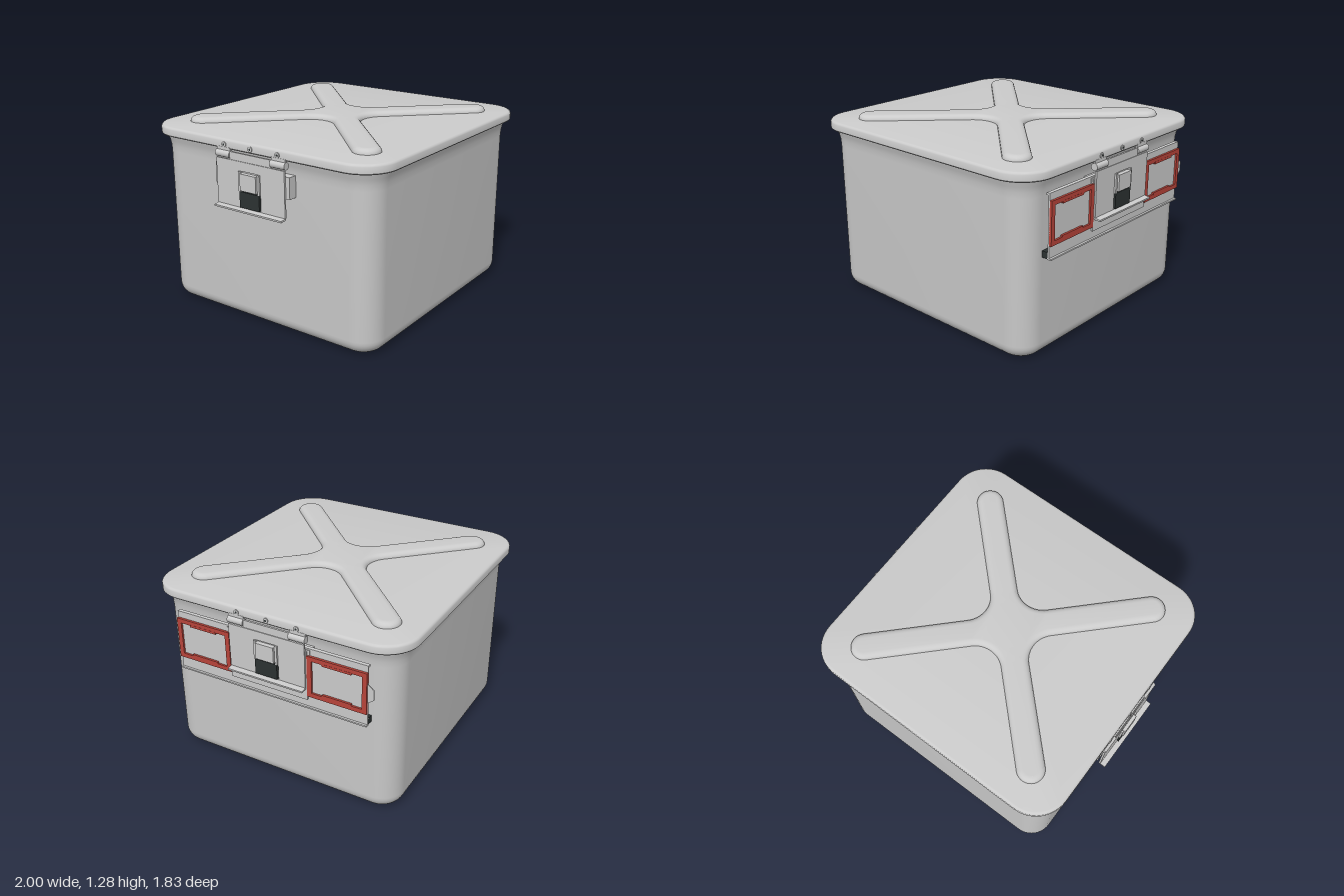
import * as THREE from 'three';
import { toCreasedNormals } from 'three/addons/utils/BufferGeometryUtils.js';

const grey = new THREE.MeshStandardMaterial({ color: 0xcccccc, side: THREE.DoubleSide });
const red = new THREE.MeshStandardMaterial({ color: 0xb8443a });
const dark = new THREE.MeshStandardMaterial({ color: 0x2c3232 });

function add(parent, name, geometry, material = grey) {
  const mesh = new THREE.Mesh(geometry, material);
  mesh.name = name;
  parent.add(mesh);
  return mesh;
}

// Box given by its limits on each axis
function box(parent, name, [x0, x1], [y0, y1], [z0, z1], material) {
  const mesh = add(parent, name, new THREE.BoxGeometry(x1 - x0, y1 - y0, z1 - z0), material);
  mesh.position.set((x0 + x1) / 2, (y0 + y1) / 2, (z0 + z1) / 2);
  return mesh;
}

// Loft through rounded rectangles, rows of [halfX, halfZ, radius, y]
function loft(rows, steps = 12) {
  const pos = [], idx = [], n = 4 * (steps + 1);
  for (const [hx, hz, r, y] of rows)
    for (let q = 0; q < 4; q++)
      for (let k = 0; k <= steps; k++) {
        const a = (q + k / steps) * Math.PI / 2;
        const sx = q === 0 || q === 3 ? 1 : -1, sz = q < 2 ? 1 : -1;
        pos.push(sx * (hx - r) + r * Math.cos(a), y, sz * (hz - r) + r * Math.sin(a));
      }
  for (let j = 0; j < rows.length - 1; j++)
    for (let i = 0; i < n; i++) {
      const a = j * n + i, c = j * n + (i + 1) % n;
      idx.push(a, a + n, c, a + n, c + n, c);
    }
  const g = new THREE.BufferGeometry();
  g.setAttribute('position', new THREE.Float32BufferAttribute(pos, 3));
  g.setIndex(idx);
  return toCreasedNormals(g, 0.6);
}

function rect(ShapeType, [u0, u1], [y0, y1]) {
  return new ShapeType([[u0, y0], [u1, y0], [u1, y1], [u0, y1]].map(p => new THREE.Vector2(...p)));
}

// Plate facing +x with a rectangular opening
function framePlate(outer, hole, x, depth) {
  const shape = rect(THREE.Shape, ...outer);
  shape.holes.push(rect(THREE.Path, ...hole));
  return new THREE.ExtrudeGeometry(shape, { depth, bevelEnabled: false })
    .rotateY(Math.PI / 2).translate(x, 0, 0);
}

function tub() {
  const X = 0.885, Z = 0.853, R = 0.16, f = 0.1;
  const rows = [[0, 0, 0, 0.012], [X - 0.13, Z - 0.13, 0.06, 0.012], [X - 0.12, Z - 0.12, 0.065, 0]];
  // rounded bottom edge
  for (let i = 0; i <= 8; i++) {
    const a = i / 8 * Math.PI / 2, inset = f * (1 - Math.sin(a));
    rows.push([X - inset, Z - inset, R - inset, f * (1 - Math.cos(a))]);
  }
  // flared rim
  for (const [d, y] of [[0, 1.07], [0.003, 1.11], [0.01, 1.145], [0.022, 1.175], [0.028, 1.2]])
    rows.push([X + d, Z + d, R + d, y]);
  return loft(rows);
}

function lid() {
  const X = 0.95, Z = 0.916, R = 0.23;
  const rows = [[0, 0, 0, 1.205]];
  for (const [d, y] of [[0.035, 1.205], [0.03, 1.19], [0.008, 1.188], [0, 1.196], [0, 1.235],
    [0.004, 1.243], [0.011, 1.249], [0.02, 1.251]])
    rows.push([X - d, Z - d, R - d, y]);
  rows.push([0, 0, 0, 1.251]);
  return loft(rows);
}

// Raised cross with round arm ends and filleted inner corners
function cross() {
  const c = 0.665, w = 0.09, r = 0.17, v = (w + r) * Math.SQRT2, q = Math.PI / 4;
  const shape = new THREE.Shape();
  for (let i = 0; i < 4; i++) {
    const t = i * Math.PI / 2;
    shape.absarc(c * Math.SQRT2 * Math.cos(t + q), c * Math.SQRT2 * Math.sin(t + q), w, t - q, t + 3 * q, false);
    shape.absarc(v * Math.cos(t + 2 * q), v * Math.sin(t + 2 * q), r, t - q, t - 3 * q, true);
  }
  shape.closePath();
  const g = new THREE.ExtrudeGeometry(shape, {
    depth: 0.005, bevelThickness: 0.033, bevelSize: 0.04, bevelOffset: -0.04, bevelSegments: 5, curveSegments: 14,
  });
  return toCreasedNormals(g.rotateX(-Math.PI / 2).translate(0, 1.247, 0), 0.7);
}

// Hinged closing latch, built on the +x side
function latch() {
  const g = new THREE.Group();
  add(g, 'latchPlate', framePlate([[-0.275, 0.275], [0.83, 1.13]], [[-0.085, 0.085], [0.835, 1.07]], 0.95, 0.013));
  box(g, 'latchPlateTop', [0.945, 0.958], [1.12, 1.18], [-0.165, 0.165]);
  const lip = box(g, 'latchLip', [0.955, 1.0], [0.815, 0.827], [-0.275, 0.275]);
  lip.rotation.z = -0.12;
  box(g, 'latchBracket', [0.875, 0.945], [0.95, 1.09], [-0.3, 0.3]);
  // grip in the window
  box(g, 'gripBack', [0.94, 0.955], [0.835, 1.07], [-0.085, 0.085]);
  box(g, 'grip', [0.95, 0.985], [0.95, 1.06], [-0.065, 0.065]);
  box(g, 'gripPad', [0.95, 0.974], [0.835, 0.94], [-0.08, 0.08], dark);
  for (const s of [-1, 1]) {
    box(g, 'gripSide', [0.955, 0.975], [0.94, 1.07], [s * 0.077 - 0.008, s * 0.077 + 0.008]);
    const knuckle = add(g, 'hingeKnuckle', new THREE.CylinderGeometry(0.024, 0.024, 0.115, 20).rotateX(Math.PI / 2));
    knuckle.position.set(0.945, 1.157, s * 0.222);
    box(g, 'hingeLeaf', [0.938, 0.952], [1.155, 1.2], [s * 0.222 - 0.055, s * 0.222 + 0.055]);
  }
  for (const z of [-0.215, 0, 0.215]) {
    const rivet = add(g, 'rivet', new THREE.CylinderGeometry(0.017, 0.017, 0.012, 20).rotateZ(Math.PI / 2));
    rivet.position.set(0.95, 1.217, z);
    const pin = add(g, 'rivetPin', new THREE.CylinderGeometry(0.007, 0.007, 0.015, 12).rotateZ(Math.PI / 2), dark);
    pin.position.set(0.95, 1.217, z);
  }
  return g;
}

// Holder with two framed cards, on the +x side only
function labelHolder() {
  const g = new THREE.Group();
  g.name = 'labelHolder';
  box(g, 'holderPlate', [0.93, 0.94], [0.68, 1.1], [-0.692, 0.692]);
  box(g, 'holderTopRail', [0.915, 0.94], [1.085, 1.1], [-0.692, 0.692]);
  box(g, 'holderBottomEdge', [0.925, 0.955], [0.68, 0.69], [-0.692, 0.692]);
  box(g, 'holderSeal', [0.88, 0.93], [0.682, 0.725], [-0.69, 0.69], dark);
  box(g, 'holderCentre', [0.935, 0.952], [0.74, 1.08], [-0.282, 0.282]);
  for (const s of [-1, 1]) {
    const m = s * 0.488;
    add(g, 'cardFrame', framePlate([[m - 0.204, m + 0.204], [0.77, 1.055]],
      [[m - 0.172, m + 0.172], [0.8, 1.025]], 0.938, 0.018), red);
    box(g, 'card', [0.938, 0.943], [0.78, 1.045], [m - 0.195, m + 0.195]);
    for (const y of [0.803, 1.022])
      box(g, 'frameClip', [0.94, 0.957], [y - 0.008, y + 0.008], [m - 0.1, m + 0.1], red);
  }
  // pull tab at the back end
  const tab = new THREE.Shape([[0.68, 0.84], [0.705, 0.855], [0.735, 0.88], [0.735, 0.945], [0.705, 0.97], [0.68, 0.985]]
    .map(p => new THREE.Vector2(...p)));
  add(g, 'cardTab', new THREE.ExtrudeGeometry(tab, { depth: 0.007, bevelEnabled: false })
    .rotateY(Math.PI / 2).translate(0.938, 0, 0));
  return g;
}

export function createModel() {
  const model = new THREE.Group();
  model.name = 'container';
  add(model, 'tub', tub());
  add(model, 'lid', lid());
  add(model, 'lidCross', cross());
  for (const side of ['left', 'right']) {
    const l = latch();
    l.name = side + 'Latch';
    if (side === 'right') l.rotation.y = Math.PI;
    model.add(l);
  }
  model.add(labelHolder());
  return model;
}
